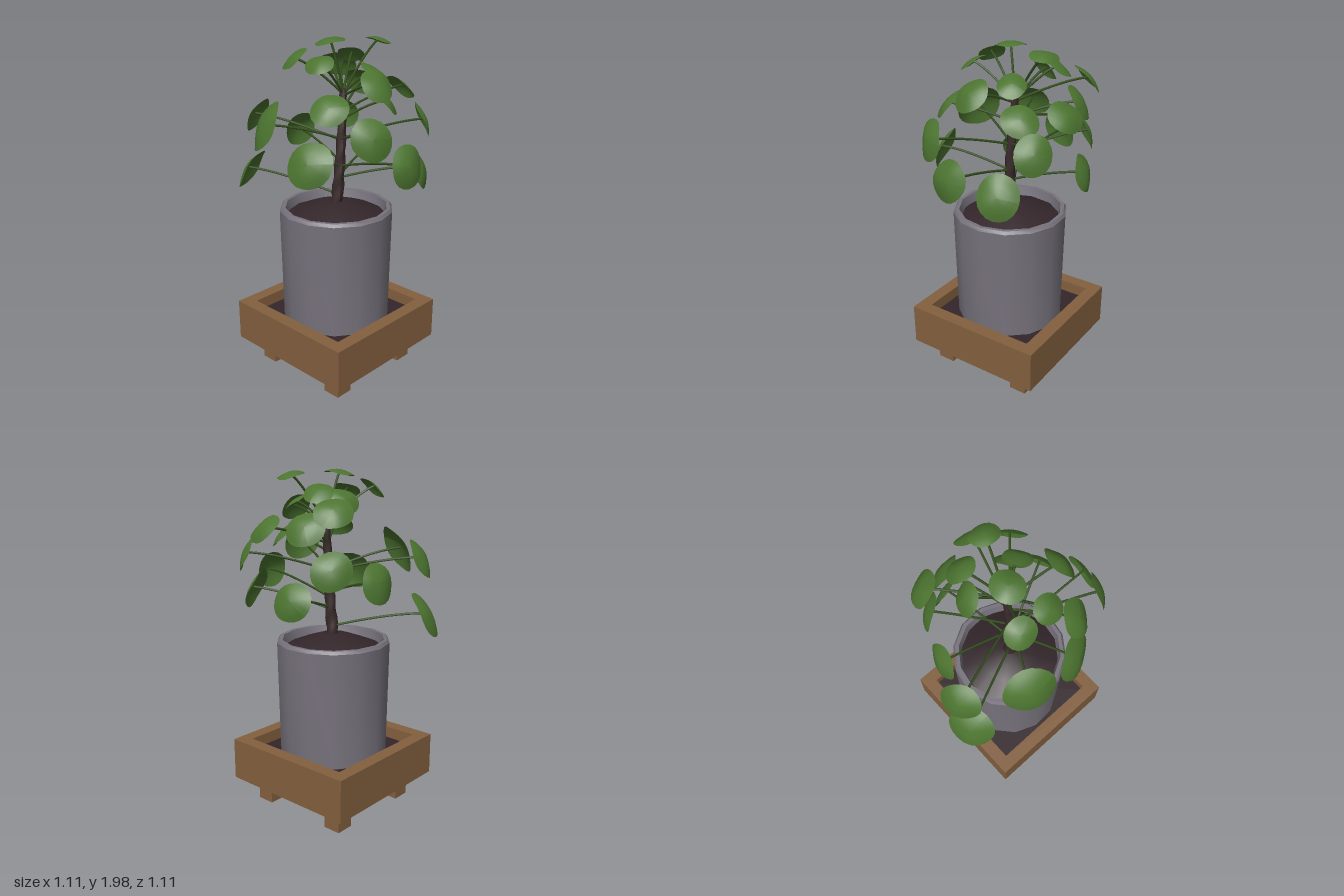
import * as THREE from 'three';
import { toCreasedNormals } from 'three/addons/utils/BufferGeometryUtils.js';

function material(name, color, side = THREE.FrontSide) {
  const m = new THREE.MeshStandardMaterial({ color, side });
  m.name = name;
  return m;
}

const wood = material('wood', 0x84603f);
const potGrey = material('pot grey', 0x77727c);
const soilBrown = material('soil', 0x33262a);
const bark = material('bark', 0x3b2b2c);
const stemGreen = material('stem green', 0x36521f);
const leafGreen = material('leaf green', 0x4c7430, THREE.DoubleSide);

function add(parent, name, geometry, mat, x = 0, y = 0, z = 0) {
  const mesh = new THREE.Mesh(geometry, mat);
  mesh.name = name;
  mesh.position.set(x, y, z);
  parent.add(mesh);
  return mesh;
}

const lathe = (points, sides) =>
  new THREE.LatheGeometry(points.map(([r, y]) => new THREE.Vector2(r, y)), sides);

function square(PathType, h) {
  return new PathType([[-h, -h], [h, -h], [h, h], [-h, h]].map(([x, y]) => new THREE.Vector2(x, y)));
}

// Square wooden planter frame on four block feet
function makeTray() {
  const tray = new THREE.Group();
  tray.name = 'tray';
  const outline = square(THREE.Shape, 0.426);
  outline.holes.push(square(THREE.Path, 0.348));
  const frame = new THREE.ExtrudeGeometry(outline, { depth: 0.25, bevelEnabled: false });
  frame.rotateX(-Math.PI / 2);
  add(tray, 'trayFrame', frame, wood, 0, 0.142, 0);
  add(tray, 'trayFloor', new THREE.BoxGeometry(0.696, 0.06, 0.696), wood, 0, 0.172, 0);
  add(tray, 'traySoil', new THREE.BoxGeometry(0.696, 0.12, 0.696), soilBrown, 0, 0.262, 0);
  for (const x of [-0.27, 0.27]) {
    for (const z of [-0.27, 0.27]) {
      add(tray, 'foot', new THREE.BoxGeometry(0.107, 0.142, 0.107), wood, x, 0.071, z);
    }
  }
  tray.rotation.y = 0.395;
  return tray;
}

// Trunk centre line, leaning slightly as it rises
const trunkX = (y) => 0.045 * Math.max(0, (y - 1.0) / 0.7);
const trunkZ = (y) => 0.012 * Math.sin((y - 1.0) * 5);

function makeTrunk() {
  const g = new THREE.CylinderGeometry(0.02, 0.037, 0.72, 9, 18);
  g.translate(0, 1.34, 0);
  const p = g.attributes.position;
  for (let i = 0; i < p.count; i++) {
    const y = p.getY(i);
    const angle = Math.atan2(p.getZ(i), p.getX(i));
    const knot = 1 + 0.12 * Math.sin(y * 45 + angle * 2);
    p.setXYZ(i, p.getX(i) * knot + trunkX(y), y, p.getZ(i) * knot + trunkZ(y));
  }
  g.computeVertexNormals();
  return g;
}

// Round, gently domed leaf blade with a wavy rim, facing +z
function makeLeaf(radius, seed) {
  const g = new THREE.RingGeometry(0, radius, 20, 4);
  const p = g.attributes.position;
  for (let i = 0; i < p.count; i++) {
    const x = p.getX(i), y = p.getY(i);
    const t = Math.hypot(x, y) / radius;
    const a = Math.atan2(y, x);
    const stretch = 1 + 0.05 * t * Math.sin(2 * a + seed);
    const dome = -0.28 * t * t + 0.05 * t * t * Math.sin(3 * a + seed * 2);
    p.setXYZ(i, x * stretch, y * stretch, radius * (dome + 0.12));
  }
  g.computeVertexNormals();
  return g;
}

// Leaf centre x, y, z, upward share of its facing, radius
const LEAVES = [
  // Crown
  [-0.03, 1.97, -0.02, 0.4, 0.086],
  [-0.24, 1.885, -0.03, 0.3, 0.082],
  [-0.16, 1.87, 0.14, 0.36, 0.08],
  [0.27, 1.96, -0.03, 0.85, 0.078],
  [0.18, 1.87, -0.19, 0.35, 0.085],
  [0.04, 1.825, -0.21, 0.17, 0.086],
  [0.18, 1.81, 0.11, 0.28, 0.082],
  // Upper ring
  [0.10, 1.77, 0.31, 0.28, 0.1],
  [-0.17, 1.66, 0.30, 0.33, 0.1],
  [0.19, 1.78, -0.39, 0.38, 0.1],
  [0.29, 1.69, -0.26, 0.24, 0.105],
  [0.44, 1.685, -0.05, 0.4, 0.1],
  [0.26, 1.64, 0.11, 0.25, 0.1],
  // Middle ring
  [-0.02, 1.53, 0.50, 0.16, 0.112],
  [0.47, 1.53, 0.17, 0.21, 0.105],
  [-0.42, 1.53, -0.04, 0.21, 0.145],
  [-0.35, 1.52, -0.39, 0.3, 0.115],
  [0.20, 1.48, -0.39, 0.16, 0.11],
  // Lower ring
  [0.19, 1.37, 0.51, 0.13, 0.113],
  [-0.28, 1.37, 0.28, 0.18, 0.13],
  [-0.07, 1.40, -0.41, 0.13, 0.11],
  [0.37, 1.30, 0.32, 0.2, 0.12],
  [0.37, 1.31, -0.25, 0.15, 0.11],
  [-0.41, 1.20, -0.37, 0.34, 0.135],
];

function makeFoliage() {
  const foliage = new THREE.Group();
  foliage.name = 'foliage';
  LEAVES.forEach(([x, y, z, up, radius], i) => {
    // Each blade faces outward from the trunk and a little upward
    const centre = new THREE.Vector3(x, y, z);
    const facing = new THREE.Vector3(x - 0.03, up, z).normalize();
    const blade = add(foliage, 'leaf', makeLeaf(radius, i * 1.7), leafGreen, x, y, z);
    blade.quaternion.setFromUnitVectors(new THREE.Vector3(0, 0, 1), facing);

    // Arching stem from the trunk to the underside of the blade
    const y0 = Math.min(1.67, y - 0.11);
    const start = new THREE.Vector3(trunkX(y0), y0, trunkZ(y0));
    const bend = start.clone().lerp(centre, 0.62);
    bend.y = y0 + (y - y0) * 0.72 + 0.02;
    const path = new THREE.QuadraticBezierCurve3(start, bend, centre);
    add(foliage, 'leafStem', new THREE.TubeGeometry(path, 10, 0.007, 5), stemGreen);
  });
  return foliage;
}

export function createModel() {
  const model = new THREE.Group();
  model.name = 'pottedPlant';
  model.add(makeTray());

  // Pot with a bevelled rim and open inside
  const pot = lathe([[0, 0.325], [0.322, 0.325], [0.334, 1.005], [0.322, 1.022],
    [0.3, 1.022], [0.283, 0.95]], 14);
  add(model, 'pot', toCreasedNormals(pot, 0.6), potGrey);

  // Mounded soil
  const soil = lathe([[0.295, 0.965], [0.17, 1.015], [0.08, 1.045], [0, 1.05]], 12);
  add(model, 'soil', soil, soilBrown);

  add(model, 'trunk', makeTrunk(), bark);
  model.add(makeFoliage());
  return model;
}
